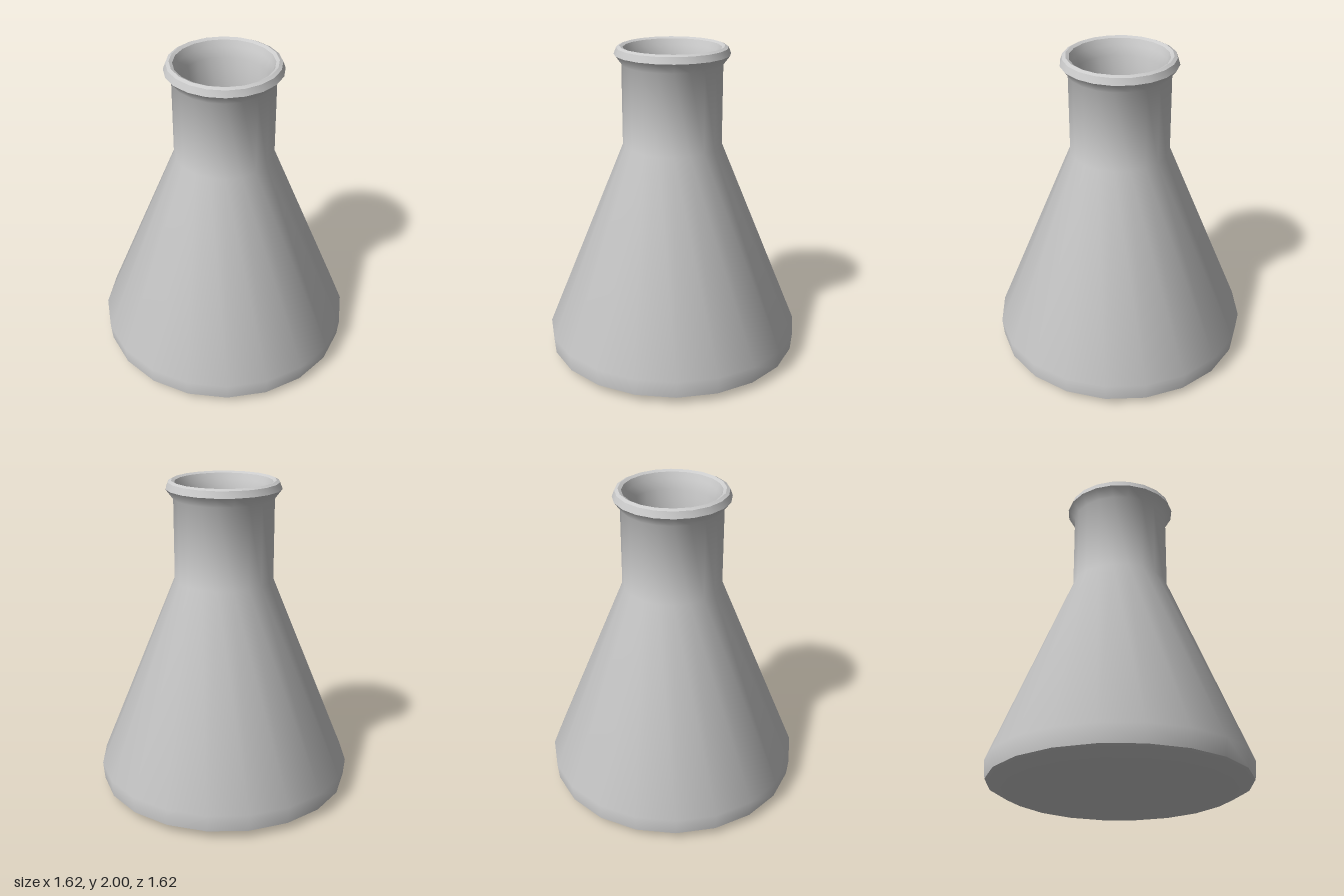
import * as THREE from 'three';
import { toCreasedNormals } from 'three/addons/utils/BufferGeometryUtils.js';

const SIDES = 20;

// Revolve a list of [radius, height] points, keeping sharp edges sharp
function turned(name, points, color) {
  const profile = points.map(([r, y]) => new THREE.Vector2(r, y));
  const geometry = toCreasedNormals(new THREE.LatheGeometry(profile, SIDES), THREE.MathUtils.degToRad(42));
  const mesh = new THREE.Mesh(geometry, new THREE.MeshStandardMaterial({ color }));
  mesh.name = name;
  return mesh;
}

export function createModel() {
  const flask = new THREE.Group();
  flask.name = 'conicalFlask';

  // Glass body: base, cone, neck and rolled lip outside, then back down the inner wall
  flask.add(turned('glassBody', [
    [0, 0], [0.7, 0], [0.8, 0.05], [0.81, 0.16],
    [0.31, 1.385], [0.31, 1.89],
    [0.355, 1.95], [0.34, 1.99], [0.32, 2], [0.3, 1.99], [0.285, 1.95],
    [0.265, 1.89], [0.26, 1.385], [0.76, 0.16], [0.75, 0.07], [0.68, 0.04], [0, 0.04],
  ], 0xcccccc));

  // Liquid filling the cone up to the foot of the neck
  flask.add(turned('liquid', [
    [0, 0.05], [0.67, 0.05], [0.74, 0.08], [0.745, 0.16], [0.24, 1.37], [0, 1.37],
  ], 0x0edc12));

  return flask;
}
